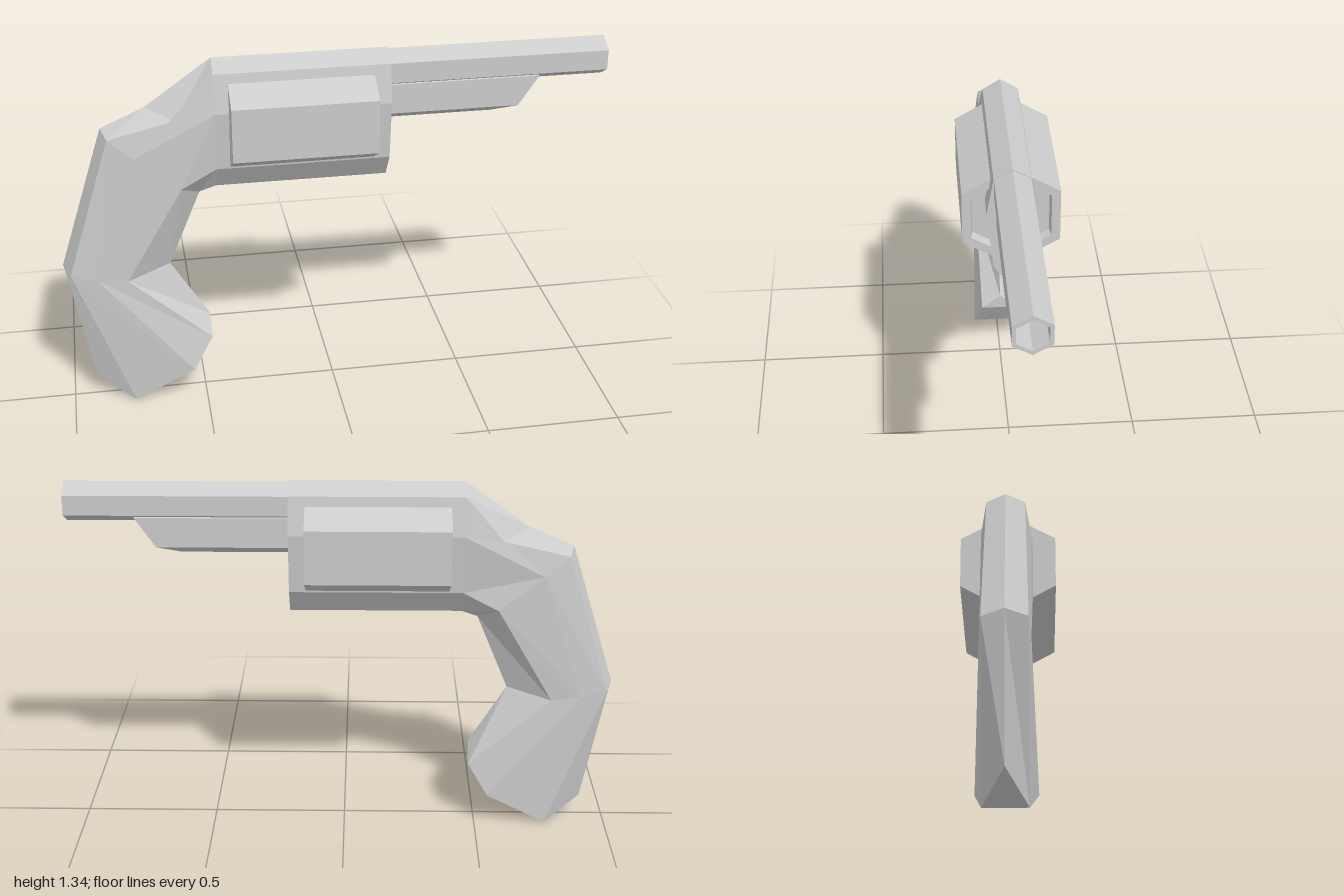
import * as THREE from 'three';

const material = new THREE.MeshStandardMaterial({ color: 0xcccccc, flatShading: true });

// Mirrors a half section (ridge, +z points, opposite ridge) into a closed ring.
function ring(half) {
  const other = half.slice(1, -1).reverse().map(([x, y, z]) => [x, y, -z]);
  return [...half, ...other].map((p) => new THREE.Vector3(...p));
}

// Skins a row of half sections and closes both ends.
function loft(halves) {
  const rings = halves.map(ring);
  const n = rings[0].length;
  const out = [];
  const tri = (a, b, c) => {
    if (new THREE.Triangle(a, b, c).getArea() > 1e-7) {
      for (const v of [a, b, c]) out.push(v.x, v.y, v.z);
    }
  };
  const quad = (a, b, c, d) => { tri(a, b, c); tri(a, c, d); };
  for (let s = 0; s < rings.length - 1; s++) {
    const p = rings[s], q = rings[s + 1];
    for (let i = 0; i < n; i++) {
      const j = (i + 1) % n;
      quad(p[i], q[i], q[j], p[j]);
    }
  }
  const first = rings[0], last = rings[rings.length - 1];
  for (let i = 0; i < n / 2; i++) {
    const j = i + 1, k = n - j, l = (n - i) % n;
    quad(first[i], first[j], first[k], first[l]);
    quad(last[l], last[k], last[j], last[i]);
  }
  const geometry = new THREE.BufferGeometry();
  geometry.setAttribute('position', new THREE.Float32BufferAttribute(out, 3));
  geometry.computeVertexNormals();
  return geometry;
}

// Six-sided turned part along x, from [radius, x] profile points.
function hexTurned(profile, y) {
  const points = profile.map(([r, x]) => new THREE.Vector2(r, x));
  const geometry = new THREE.LatheGeometry(points, 6, Math.PI / 2);
  return geometry.rotateZ(-Math.PI / 2).translate(0, y, 0);
}

export function createModel() {
  const model = new THREE.Group();
  model.name = 'revolver';
  const add = (name, geometry) => {
    const mesh = new THREE.Mesh(geometry, material);
    mesh.name = name;
    model.add(mesh);
  };

  // Frame and grip: one skin from the barrel end round to the butt
  const frameAt = (x) => [
    [x, 1.34, 0], [x, 1.3, 0.065], [x, 1.16, 0.09], [x, 0.94, 0.066], [x, 0.845, 0],
  ];
  add('frameAndGrip', loft([
    frameAt(0.2),
    frameAt(-0.43),
    [[-0.67, 1.17, 0], [-0.57, 1.14, 0.075], [-0.72, 1.01, 0.085], [-0.56, 0.88, 0.09], [-0.49, 0.825, 0]],
    [[-0.83, 1.1, 0], [-0.81, 1.08, 0.065], [-0.72, 1.01, 0.085], [-0.56, 0.88, 0.09], [-0.49, 0.825, 0]],
    [[-1, 0.57, 0], [-0.975, 0.555, 0.075], [-0.88, 0.535, 0.083], [-0.77, 0.52, 0.08], [-0.61, 0.54, 0]],
    [[-0.91, 0.08, 0], [-0.77, 0, 0.075], [-0.545, 0.13, 0.105], [-0.47, 0.25, 0.075], [-0.47, 0.31, 0]],
  ]));

  // Cylinder with a shallow recess in its front face
  add('cylinder', hexTurned(
    [[0, -0.38], [0.199, -0.38], [0.199, 0.14], [0.163, 0.14], [0.157, 0.105], [0, 0.105]], 1.107));

  // Hollow barrel
  add('barrel', hexTurned(
    [[0, 0.19], [0.073, 0.19], [0.073, 1], [0.058, 1], [0.058, 0.7], [0, 0.7]], 1.262));

  // Lug under the barrel with a slanted nose
  add('barrelLug', loft([
    [[0.75, 1.23, 0], [0.75, 1.215, 0.055], [0.675, 1.105, 0.055], [0.59, 1.07, 0]],
    [[0.19, 1.23, 0], [0.19, 1.215, 0.055], [0.19, 1.105, 0.055], [0.19, 1.07, 0]],
  ]));

  return model;
}
